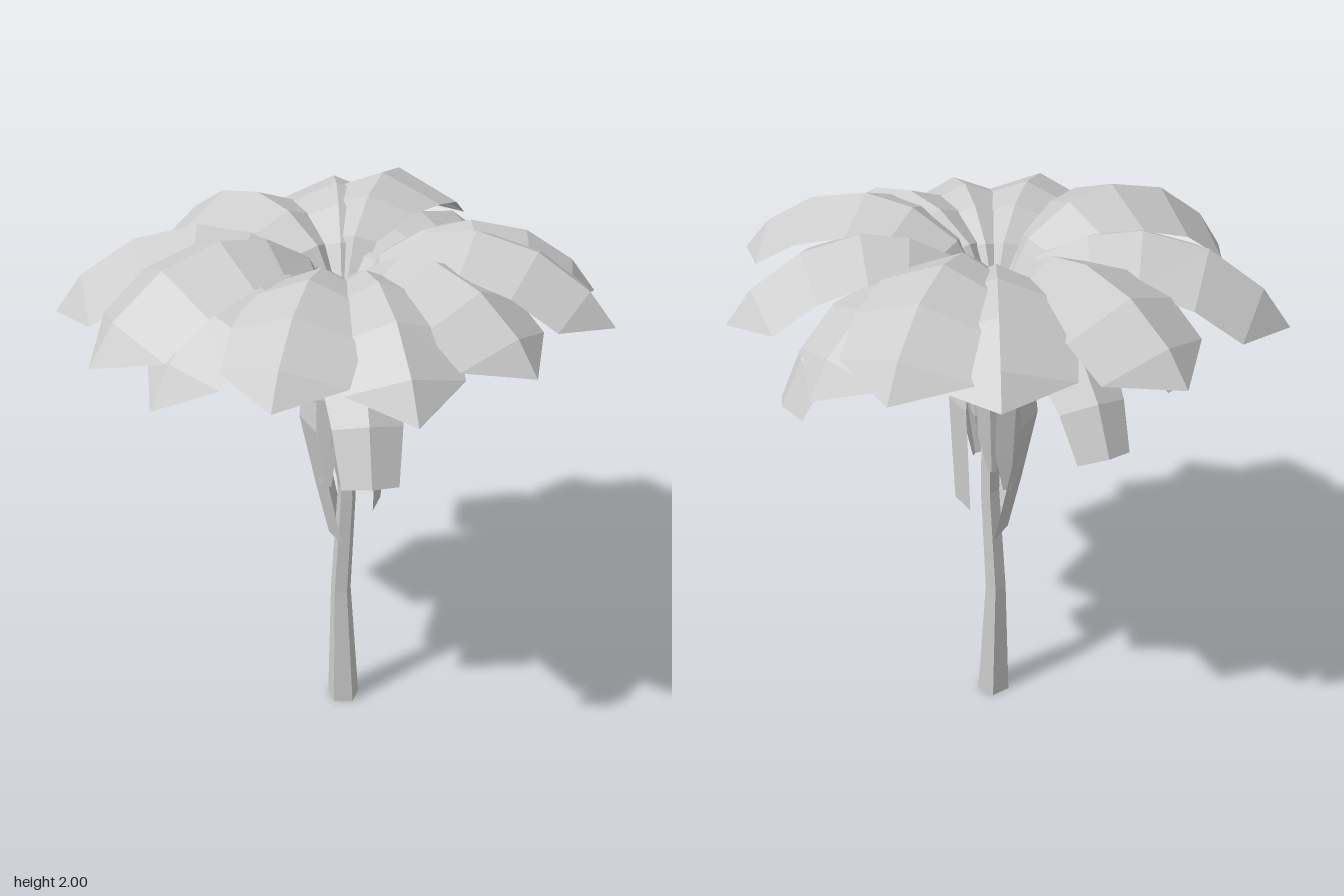
import * as THREE from 'three';

const CX = 0.045, CZ = 0.01; // crown centre

// Folded leaf: a ridge path of [radius, height] with two sides dropping away from it
function leafGeometry(angle, path, widths, fold) {
  const dx = Math.cos(angle), dz = Math.sin(angle);
  const rows = path.map(([r, y], i) => {
    const a = path[Math.max(i - 1, 0)], b = path[Math.min(i + 1, path.length - 1)];
    const len = Math.hypot(b[0] - a[0], b[1] - a[1]);
    const nr = -(b[1] - a[1]) / len, ny = (b[0] - a[0]) / len;
    const w = widths[i], er = r - nr * fold * w, ey = y - ny * fold * w;
    const at = (rad, h, side) => [CX + dx * rad - dz * side, h, CZ + dz * rad + dx * side];
    return [at(er, ey, -w), at(r, y, 0), at(er, ey, w)];
  });
  const pos = [];
  const tri = (...p) => p.forEach(v => pos.push(...v));
  for (let i = 0; i < rows.length - 1; i++) {
    const a = rows[i], b = rows[i + 1], tip = widths[i + 1] === 0;
    for (let k = 0; k < 2; k++) {
      if (tip) tri(a[k], b[1], a[k + 1]);
      else {
        tri(a[k], b[k], a[k + 1]);
        tri(a[k + 1], b[k], b[k + 1]);
      }
    }
  }
  const g = new THREE.BufferGeometry();
  g.setAttribute('position', new THREE.Float32BufferAttribute(pos, 3));
  g.computeVertexNormals();
  return g;
}

// Arching frond that rises from the crown and droops to its tip
function frondGeometry([x, z, tipY, peak, width], endWidth) {
  const reach = Math.hypot(x - CX, z - CZ), base = 1.69;
  const s = [0.03, 0.14, 0.31, 0.49, 0.71, 0.9, 1];
  const rise = [0, 0.6, 0.91, 1], fall = [0.17, 0.58, 1];
  const path = s.map((t, i) => [t * reach,
    i < 4 ? base + rise[i] * (peak - base) : peak - fall[i - 4] * (peak - tipY)]);
  const widths = [0.09, 0.32, 0.68, 0.93, 1, endWidth ? 0.8 : 0.97, endWidth].map(w => w * width);
  return leafGeometry(Math.atan2(z - CZ, x - CX), path, widths, 0.42);
}

export function createModel() {
  const group = new THREE.Group();
  const grey = new THREE.MeshStandardMaterial({ color: 0xcccccc, flatShading: true, side: THREE.DoubleSide });
  grey.name = 'paleGrey';
  const add = (geometry, name) => {
    const mesh = new THREE.Mesh(geometry, grey);
    mesh.name = name;
    group.add(mesh);
  };

  // Slightly bowed trunk: rings of [y, x, z, radius]
  const rings = [
    [1.69, 0.045, 0.01, 0.036], [1.35, 0.05, 0.02, 0.034], [0.92, 0.055, 0.027, 0.035],
    [0.5, 0.053, 0.002, 0.039], [0, 0.057, 0.014, 0.062],
  ];
  const trunk = new THREE.CylinderGeometry(1, 1, 1, 5, rings.length - 1);
  trunk.rotateY(-0.17);
  const p = trunk.attributes.position;
  for (let i = 0; i < p.count; i++) {
    const [y, x, z, r] = rings[Math.round((0.5 - p.getY(i)) * (rings.length - 1))];
    p.setXYZ(i, x + p.getX(i) * r, y, z + p.getZ(i) * r);
  }
  trunk.computeVertexNormals();
  add(trunk, 'trunk');

  // Fronds: tip x, tip z, tip height, peak height, half width
  const fronds = [
    [0.08, -0.86, 1.70, 1.96, 0.23], [-0.86, -0.22, 1.67, 2.0, 0.23],
    [-0.80, 0.0, 1.58, 1.9, 0.18], [-0.69, 0.43, 1.69, 1.94, 0.21],
    [-0.38, 0.74, 1.64, 1.93, 0.2], [0.04, 0.85, 1.69, 1.95, 0.21],
    [0.44, 0.85, 1.73, 2.0, 0.21], [0.77, 0.53, 1.66, 1.95, 0.22],
    [0.85, 0.0, 1.62, 1.9, 0.2], [0.83, -0.35, 1.74, 2.0, 0.23],
    [0.61, -0.60, 1.73, 1.96, 0.24], [-0.6, -0.74, 1.62, 1.95, 0.26],
  ];
  fronds.forEach(f => add(frondGeometry(f, 0), 'frond'));

  // Lower drooping fronds with blunt ends
  const lower = [
    [0.295, -0.745, 1.5, 1.86, 0.14], [0.785, 0.235, 1.48, 1.84, 0.14],
    [-0.43, 0.6, 1.39, 1.82, 0.14], [-0.17, -0.66, 1.56, 1.86, 0.13],
  ];
  lower.forEach(f => add(frondGeometry(f, 0.65), 'droopingFrond'));

  // Hanging dry leaves: angle in degrees, bottom height, middle and bottom reach, half width, end width
  const hanging = [
    [38, 0.90, 0.16, 0.145, 0.11, 0.9], [225, 0.76, 0.15, 0.045, 0.13, 0.85],
    [352, 1.28, 0.13, 0.11, 0.05, 0.5], [88, 1.03, 0.16, 0.1, 0.05, 0.4],
    [125, 1.0, 0.15, 0.09, 0.06, 0.4], [178, 1.0, 0.14, 0.1, 0.06, 0.5],
    [285, 0.98, 0.15, 0.11, 0.06, 0.4], [322, 1.05, 0.13, 0.09, 0.05, 0.3],
  ];
  hanging.forEach(([deg, bottom, mid, low, w, end]) => {
    const h = 1.7 - bottom;
    const path = [[0.03, 1.67], [mid * 0.5, 1.72], [mid * 0.75, 1.7 - h * 0.12],
      [mid, 1.7 - h * 0.48], [mid * 0.45 + low * 0.55, 1.7 - h * 0.78], [low, bottom]];
    const widths = [0.15, 0.25, 0.5, 1, 0.95, end].map(k => k * w);
    add(leafGeometry(deg * Math.PI / 180, path, widths, 0.45), 'hangingLeaf');
  });
  return group;
}
